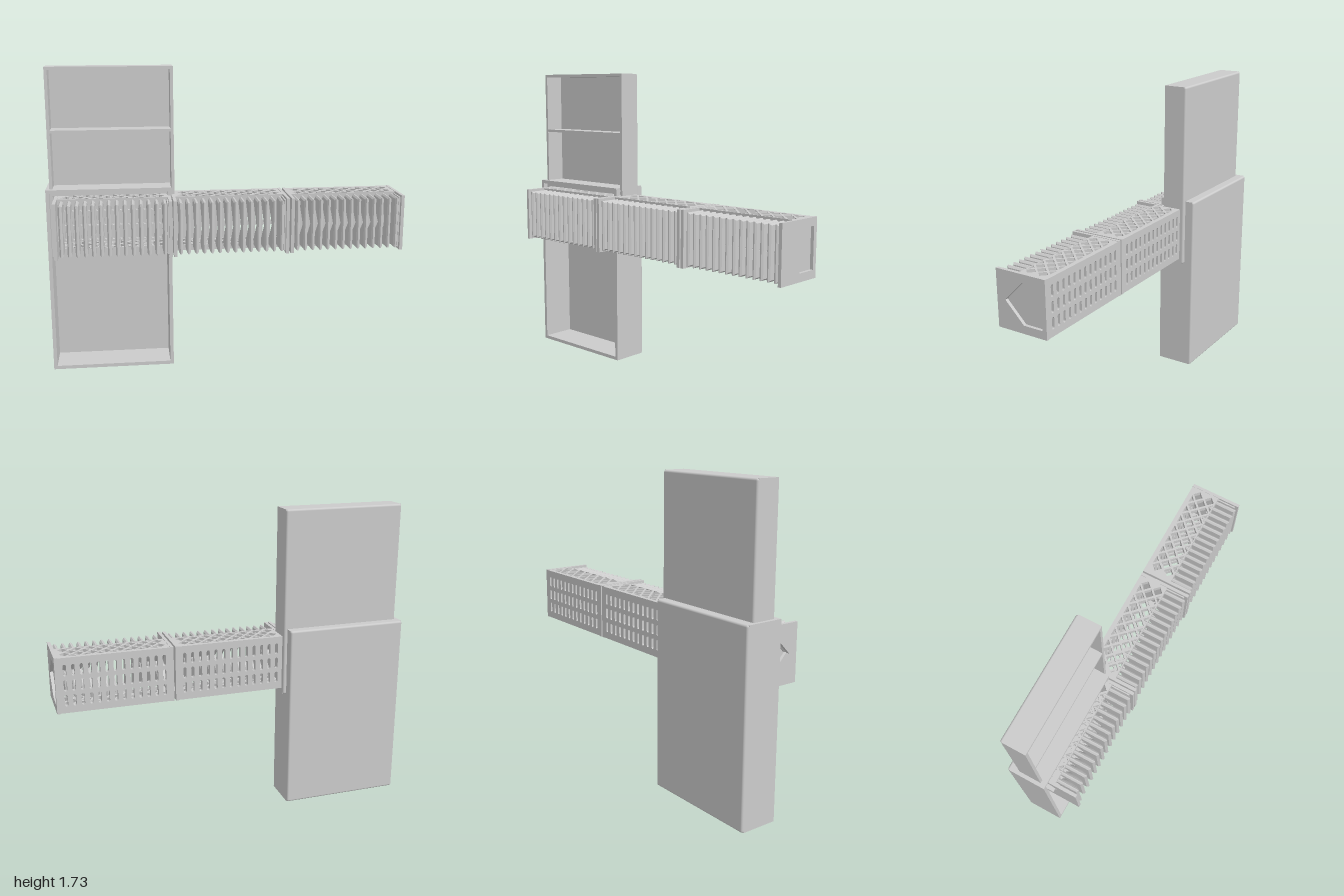
import * as THREE from 'three';
import { RoundedBoxGeometry } from 'three/addons/geometries/RoundedBoxGeometry.js';

const material = new THREE.MeshStandardMaterial({ color: 0xcccccc });

function add(parent, name, geometry, x = 0, y = 0, z = 0) {
  const mesh = new THREE.Mesh(geometry, material);
  mesh.name = name;
  mesh.position.set(x, y, z);
  parent.add(mesh);
  return mesh;
}

const polygon = (Type, points) => new Type(points.map(([a, b]) => new THREE.Vector2(a, b)));
const rect = (Type, x0, y0, x1, y1) => polygon(Type, [[x0, y0], [x1, y0], [x1, y1], [x0, y1]]);
const extrude = (shape, depth, options = {}) =>
  new THREE.ExtrudeGeometry(shape, { depth, bevelEnabled: false, curveSegments: 4, ...options });

// Tray open to the front, with rounded edges at the back and optional shelves
function tray(name, x0, x1, y0, y1, back, front, wall, shelves) {
  const group = new THREE.Group();
  group.name = name;
  const r = 0.011, w = x1 - x0, cx = (x0 + x1) / 2;
  add(group, 'trayBack', new RoundedBoxGeometry(w, y1 - y0, 2 * r, 3, r), cx, (y0 + y1) / 2, back + r);
  const rim = rect(THREE.Shape, x0, y0, x1, y1);
  rim.holes.push(rect(THREE.Path, x0 + wall, y0 + wall, x1 - wall, y1 - wall));
  add(group, 'trayWalls', extrude(rim, front - back - r), 0, 0, back + r);
  const depth = front - back - r;
  for (const y of shelves) {
    add(group, 'shelf', new THREE.BoxGeometry(w - 2 * wall, 0.015, depth), cx, y, front - depth / 2);
  }
  return group;
}

// Rack module: a five-sided tunnel with a slotted back, lattice top and bottom and front fins
const W = 0.645, PLATE = 0.018, BOTTOM = 0.7, TOP = 1.015, BACK = -0.11, FRONT = 0.19;
const MID = (BOTTOM + TOP) / 2;

function endPlate() {
  const shape = rect(THREE.Shape, BACK, BOTTOM, FRONT, TOP);
  shape.holes.push(polygon(THREE.Path,
    [[-0.085, 0.745], [0.03, 0.745], [0.14, MID], [0.03, 0.97], [-0.085, 0.97]]));
  return extrude(shape, PLATE).rotateY(-Math.PI / 2);
}

function latticePanel() {
  const shape = rect(THREE.Shape, 0, BACK, W, 0.06);
  const n = 8, p = (W - 0.05) / n, h = p / 2 - 0.008, zc = -0.015;
  for (let i = 0; i < n; i++) {
    const x = 0.025 + (i + 0.5) * p;
    for (const s of [-1, 1]) {
      const z = zc + s * p / 2;
      shape.holes.push(polygon(THREE.Path, [[x - h, z], [x, z - h], [x + h, z], [x, z + h]]));
    }
    if (i === n - 1) continue;
    // staggered diamonds in the middle, half diamonds along both edges
    const m = x + p / 2;
    shape.holes.push(polygon(THREE.Path, [[m - h, zc], [m, zc - h], [m + h, zc], [m, zc + h]]));
    for (const s of [-1, 1]) {
      const e = zc + s * (p - 0.004);
      shape.holes.push(polygon(THREE.Path, [[m - h + 0.004, e], [m + h - 0.004, e], [m, e - s * (h - 0.004)]]));
    }
  }
  return extrude(shape, 0.03).rotateX(Math.PI / 2);
}

function slottedBack() {
  const shape = rect(THREE.Shape, 0, BOTTOM + 0.003, W, TOP - 0.003);
  const n = 13, pitch = (W - 0.06) / n, r = 0.009, half = 0.023;
  for (let i = 0; i < n; i++) {
    for (const row of [-1, 0, 1]) {
      const x = 0.03 + (i + 0.5) * pitch, y = MID + row * 0.085;
      const slot = new THREE.Path();
      slot.absarc(x, y + half, r, 0, Math.PI);
      slot.absarc(x, y - half, r, Math.PI, 2 * Math.PI);
      slot.closePath();
      shape.holes.push(slot);
    }
  }
  return extrude(shape, 0.025);
}

// Fin notched by the tunnel, with edges tapering all round
function finGeometry() {
  const shape = polygon(THREE.Shape, [
    [0.035, 0.712], [0.184, 0.712], [0.184, 1.003], [0.035, 1.003],
    [0.035, 0.965], [0.14, MID], [0.035, 0.75]]);
  return extrude(shape, 0.006, {
    bevelEnabled: true, bevelSegments: 1, bevelSize: 0.009, bevelThickness: 0.008, bevelOffset: -0.009,
  }).rotateY(-Math.PI / 2);
}

function rackModule() {
  const group = new THREE.Group();
  group.name = 'rackModule';
  const plate = endPlate(), lattice = latticePanel(), fin = finGeometry();
  add(group, 'endPlate', plate, PLATE);
  add(group, 'endPlate', plate, W);
  add(group, 'endPanel', new THREE.BoxGeometry(0.008, 0.29, 0.27), W - PLATE - 0.004, MID, 0.035);
  add(group, 'latticeTop', lattice, 0, TOP - 0.002);
  add(group, 'latticeBottom', lattice, 0, BOTTOM + 0.032);
  add(group, 'slottedBack', slottedBack(), 0, 0, BACK);
  const n = 14, pitch = (W - 2 * PLATE) / n;
  for (let i = 0; i < n; i++) add(group, 'fin', fin, PLATE + (i + 0.5) * pitch + 0.003);
  return group;
}

export function createModel() {
  const model = new THREE.Group();
  model.name = 'trayAndRackAssembly';
  model.add(tray('largeTray', -1, -0.305, 0, 1.06, -0.19, 0.03, 0.02, []));
  model.add(tray('shelfTray', -0.98, -0.285, 0.67, 1.73, -0.135, 0, 0.017, [1.028, 1.378]));
  const rack = rackModule();
  for (const x of [-0.955, -0.303, 0.352]) {
    const copy = rack.clone();
    copy.position.x = x;
    model.add(copy);
  }
  return model;
}
